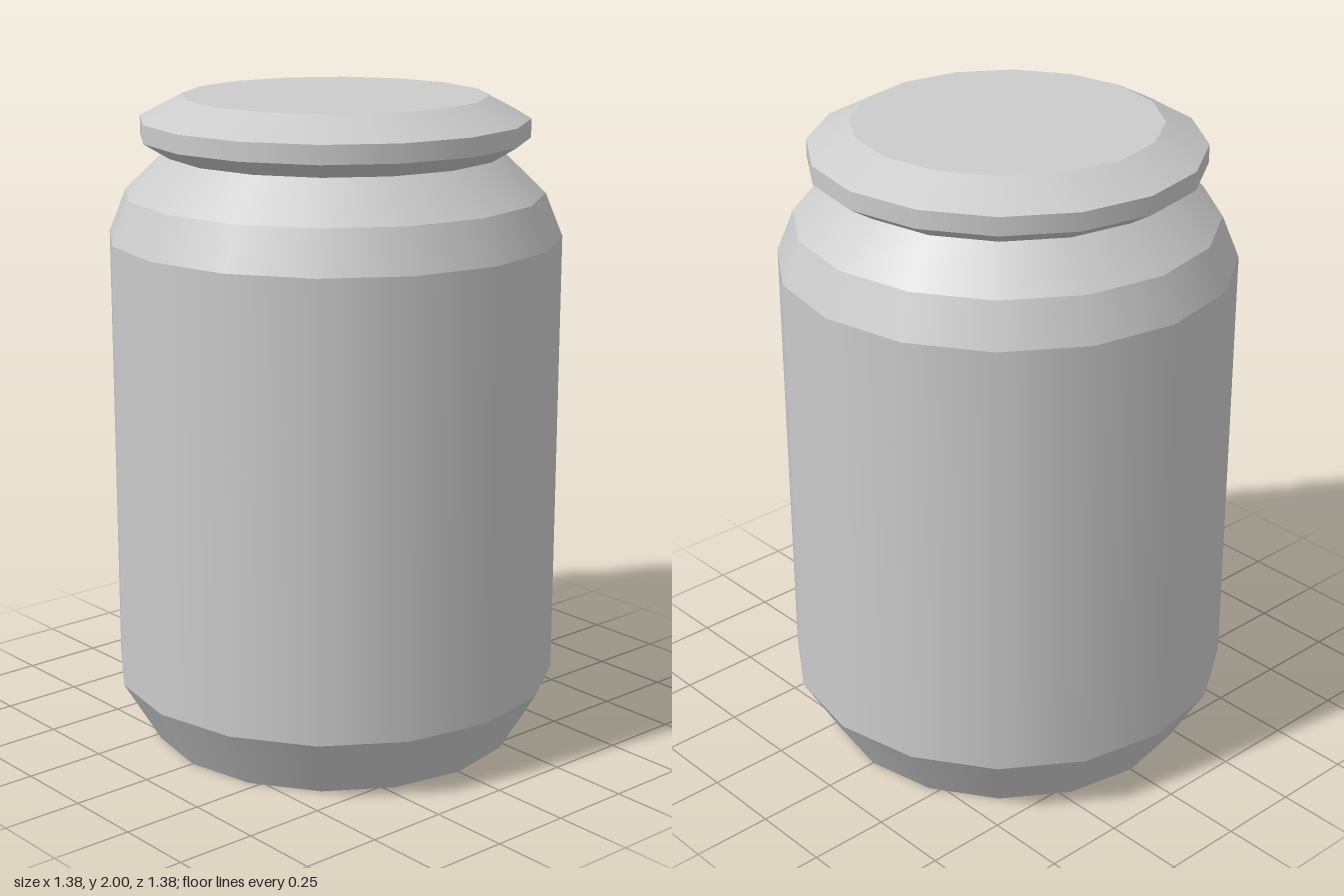
import * as THREE from 'three';

const SIDES = 16;

export function createModel() {
  const group = new THREE.Group();
  group.name = 'can';
  const material = new THREE.MeshStandardMaterial({ color: 0xcccccc });

  const add = (name, geometry, y) => {
    const mesh = new THREE.Mesh(geometry, material);
    mesh.name = name;
    mesh.position.y = y;
    group.add(mesh);
    return mesh;
  };

  // Rings of the can wall from base to lid: [radius, height]
  const rings = [
    [0.575, 0], [0.69, 0.195], [0.69, 1.58], [0.637, 1.71],
    [0.512, 1.83], [0.589, 1.877], [0.589, 1.933], [0.46, 2],
  ];
  const names = ['baseTaper', 'body', 'lowerShoulder', 'upperShoulder',
    'rimUnderside', 'rimEdge', 'lidBevel'];

  // One open band per pair of rings: smooth around, crisp between bands
  names.forEach((name, i) => {
    const [r0, y0] = rings[i];
    const [r1, y1] = rings[i + 1];
    add(name, new THREE.CylinderGeometry(r1, r0, y1 - y0, SIDES, 1, true), (y0 + y1) / 2);
  });

  // Flat end caps
  add('lidTop', new THREE.CircleGeometry(0.46, SIDES).rotateX(-Math.PI / 2), 2);
  add('baseBottom', new THREE.CircleGeometry(0.575, SIDES).rotateX(Math.PI / 2), 0);

  return group;
}
